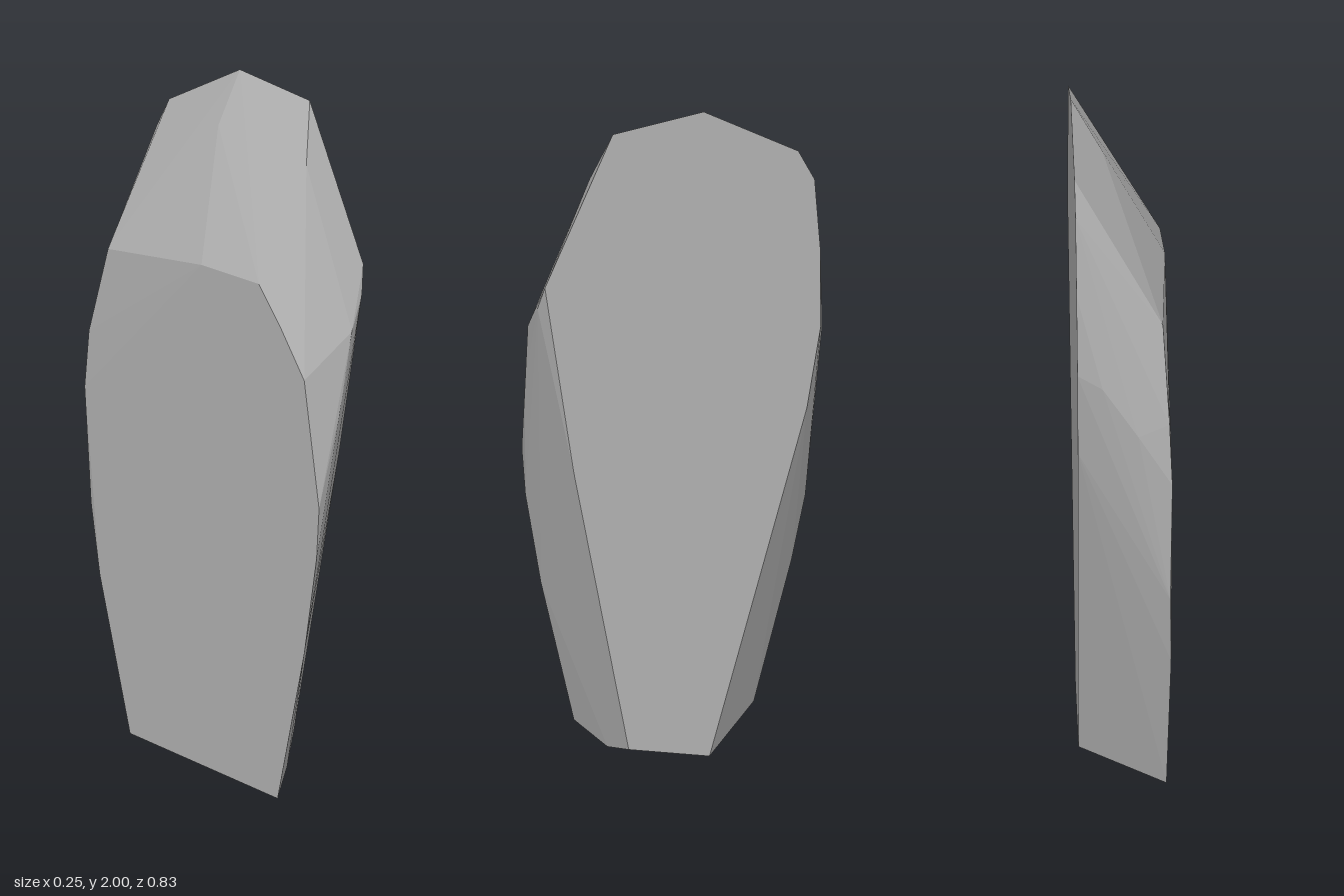
import * as THREE from 'three';
import { ConvexGeometry } from 'three/addons/geometries/ConvexGeometry.js';

// Points of a contour lying on one x plane, given as [z, y] pairs.
const contour = (x, pairs) => pairs.map(([z, y]) => new THREE.Vector3(x, y, z));

export function createModel() {
  const group = new THREE.Group();
  group.name = 'standingStone';
  const stone = new THREE.MeshStandardMaterial({ color: 0xb0b0b0 });
  stone.name = 'grey stone';

  const points = [
    // tall flat side
    ...contour(0.123, [
      [0.18, 1.955], [-0.05, 2], [-0.295, 1.88], [-0.34, 1.8], [-0.362, 1.6],
      [-0.37, 1.38], [-0.34, 1.14], [-0.08, 0], [0.16, 0.055], [0.3, 1], [0.362, 1.55],
    ]),
    // short flat side
    ...contour(-0.125, [
      [0.29, 0], [0.375, 0.5], [0.41, 0.8], [0.415, 0.95], [0.36, 1.3], [0.28, 1.43],
      [0.21, 1.53], [0.02, 1.54], [-0.37, 0.5], [-0.265, 0],
    ]),
    // weathered rear edge of the short side
    ...contour(-0.118, [[-0.403, 0.72], [-0.415, 1.08]]),
    ...contour(-0.11, [[-0.4, 1.25]]),
    ...contour(-0.095, [[-0.335, 1.5]]),
    // worn swells between the sides: front, back, crown and foot
    ...contour(-0.03, [[0.408, 1.2], [-0.408, 1.22]]),
    ...contour(0.025, [[0.4, 1.4], [0.21, 0]]),
    ...contour(0.06, [[-0.39, 1.35]]),
    ...contour(0.095, [[0.38, 1.48]]),
    ...contour(0.045, [[0.23, 1.81], [-0.06, 1.865]]),
    ...contour(-0.07, [[0.255, 1.56]]),
  ];

  const rock = new THREE.Mesh(new ConvexGeometry(points), stone);
  rock.name = 'stoneSlab';
  group.add(rock);
  return group;
}
